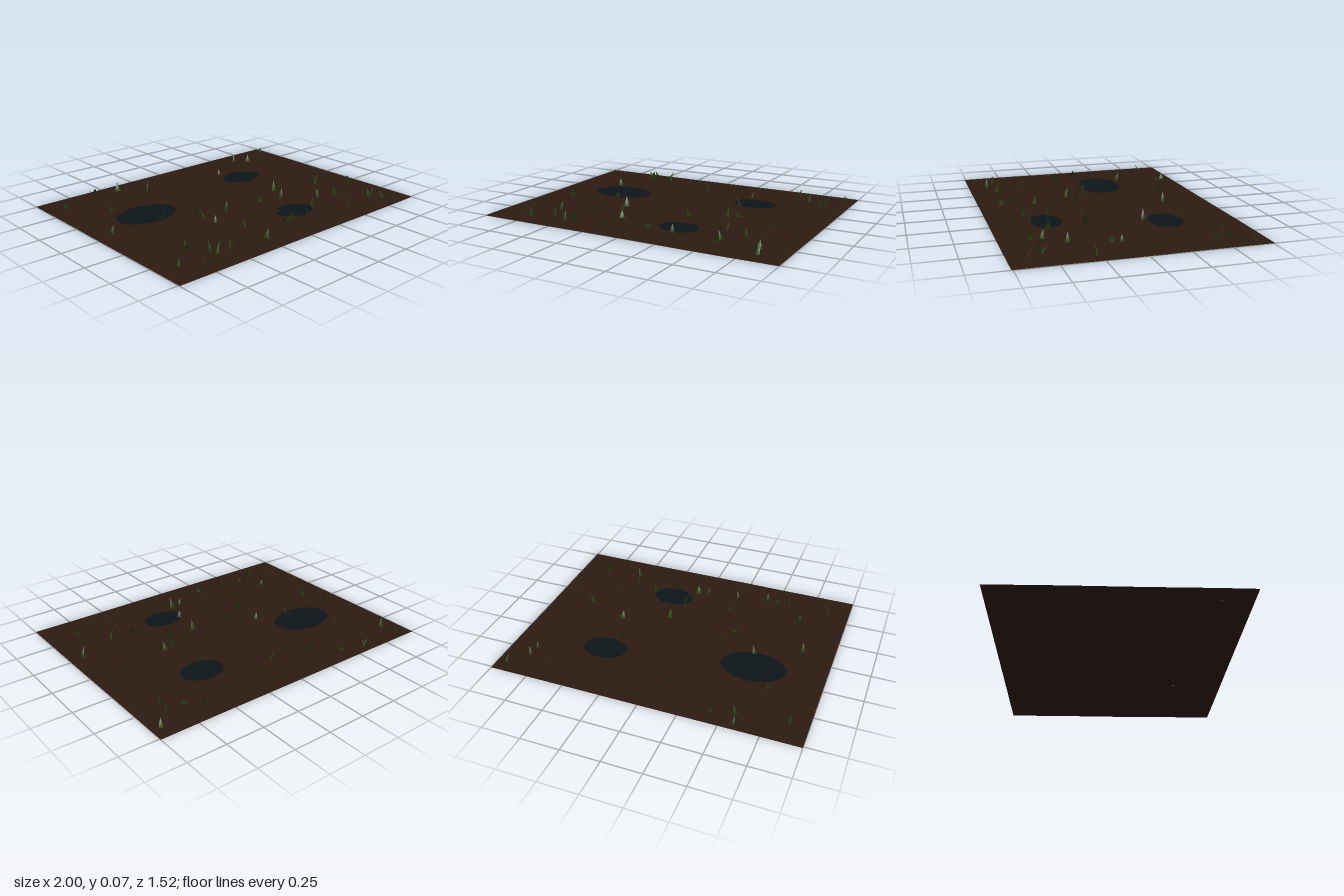
import * as THREE from 'three';

const W = 2, D = 1.52;

// Small seeded generator for blade variation
function seeded(seed) {
  return () => {
    seed = (seed * 16807) % 2147483647;
    return seed / 2147483647;
  };
}

// Barely perceptible unevenness of the mud
const relief = (x, z) =>
  0.0015 + 0.0008 * Math.sin(5 * x + 2 * z) + 0.0007 * Math.sin(7 * z - 3 * x + 1);

// One tapered, folded blade that curves forward along +z
function bladeGeometry(height, width, bend) {
  const rows = 4, pos = [], index = [];
  for (let i = 0; i <= rows; i++) {
    const t = i / rows;
    const half = (width / 2) * (1 - t ** 1.4);
    const y = height * t, z = bend * t * t;
    pos.push(-half, y, z, 0, y, z - half * 0.35, half, y, z);
    if (i === rows) continue;
    for (let j = 0; j < 2; j++) {
      const a = i * 3 + j, b = a + 3;
      index.push(a, a + 1, b, a + 1, b + 1, b);
    }
  }
  const g = new THREE.BufferGeometry();
  g.setAttribute('position', new THREE.Float32BufferAttribute(pos, 3));
  g.setIndex(index);
  g.computeVertexNormals();
  return g;
}

export function createModel() {
  const model = new THREE.Group();
  const mat = (color) => new THREE.MeshStandardMaterial({ color, side: THREE.DoubleSide });
  const mud = mat(0x2c1a12), water = mat(0x0d1518);
  const greens = [mat(0x2c4a12), mat(0x233d10), mat(0x1c3010)];

  // Muddy ground sheet
  const groundGeo = new THREE.PlaneGeometry(W, D, 40, 30).rotateX(-Math.PI / 2);
  const p = groundGeo.attributes.position;
  for (let i = 0; i < p.count; i++) p.setY(i, relief(p.getX(i), p.getZ(i)));
  groundGeo.computeVertexNormals();
  const ground = new THREE.Mesh(groundGeo, mud);
  ground.name = 'ground';
  model.add(ground);

  // Oval puddles: x, z, radius along x, radius along z
  [
    [-0.54, -0.17, 0.21, 0.145],
    [0.415, -0.32, 0.145, 0.105],
    [0.22, 0.405, 0.137, 0.1],
  ].forEach(([x, z, rx, rz]) => {
    const puddle = new THREE.Mesh(new THREE.CircleGeometry(1, 24).rotateX(-Math.PI / 2), water);
    puddle.scale.set(rx, 1, rz);
    puddle.position.set(x, 0.004, z);
    puddle.name = 'puddle';
    model.add(puddle);
  });

  // Grass blades scattered over the mud: x, z
  const spots = [
    [-0.61, -0.69], [-0.57, -0.64], [-0.58, -0.72], [-0.43, -0.66], [-0.88, -0.59], [-0.28, -0.53],
    [-0.68, -0.35], [-0.01, -0.47], [-0.88, -0.05], [-0.51, -0.04], [-0.80, 0.09], [-0.28, 0.01],
    [-0.32, 0.14], [-0.30, 0.23], [-0.12, 0.12], [0.15, 0.15], [0.33, -0.46], [0.36, -0.19],
    [0.45, 0.03], [0.38, 0.06], [0.32, 0.18], [0.71, -0.56], [0.83, -0.56], [0.62, -0.62],
    [0.94, -0.67], [0.82, -0.48], [0.73, 0.07], [0.72, 0.13], [0.91, 0.27], [0.51, 0.35],
    [0.65, 0.37], [0.36, 0.42], [0.12, 0.36], [-0.20, 0.39], [-0.67, 0.40], [-0.69, 0.43],
    [-0.86, 0.57], [-0.73, 0.63], [-0.61, 0.55], [-0.59, 0.58], [-0.50, 0.59], [-0.43, 0.58],
    [-0.23, 0.61], [-0.22, 0.55], [0.0, 0.52], [0.06, 0.51], [0.08, 0.51], [0.23, 0.51],
    [0.54, 0.50], [0.55, 0.57], [0.79, 0.57], [0.80, 0.55], [0.83, 0.64],
  ];
  const rand = seeded(4711);
  const grass = new THREE.Group();
  grass.name = 'grass';
  spots.forEach(([x, z], i) => {
    const height = 0.04 + 0.033 * rand();
    const width = 0.024 + 0.012 * rand();
    const bend = 0.012 + 0.02 * rand();
    const blade = new THREE.Mesh(bladeGeometry(height, width, bend), greens[i % 3]);
    blade.position.set(x, 0.001, z);
    blade.rotation.y = rand() * Math.PI * 2;
    blade.name = 'grassBlade';
    grass.add(blade);
  });
  model.add(grass);
  return model;
}
